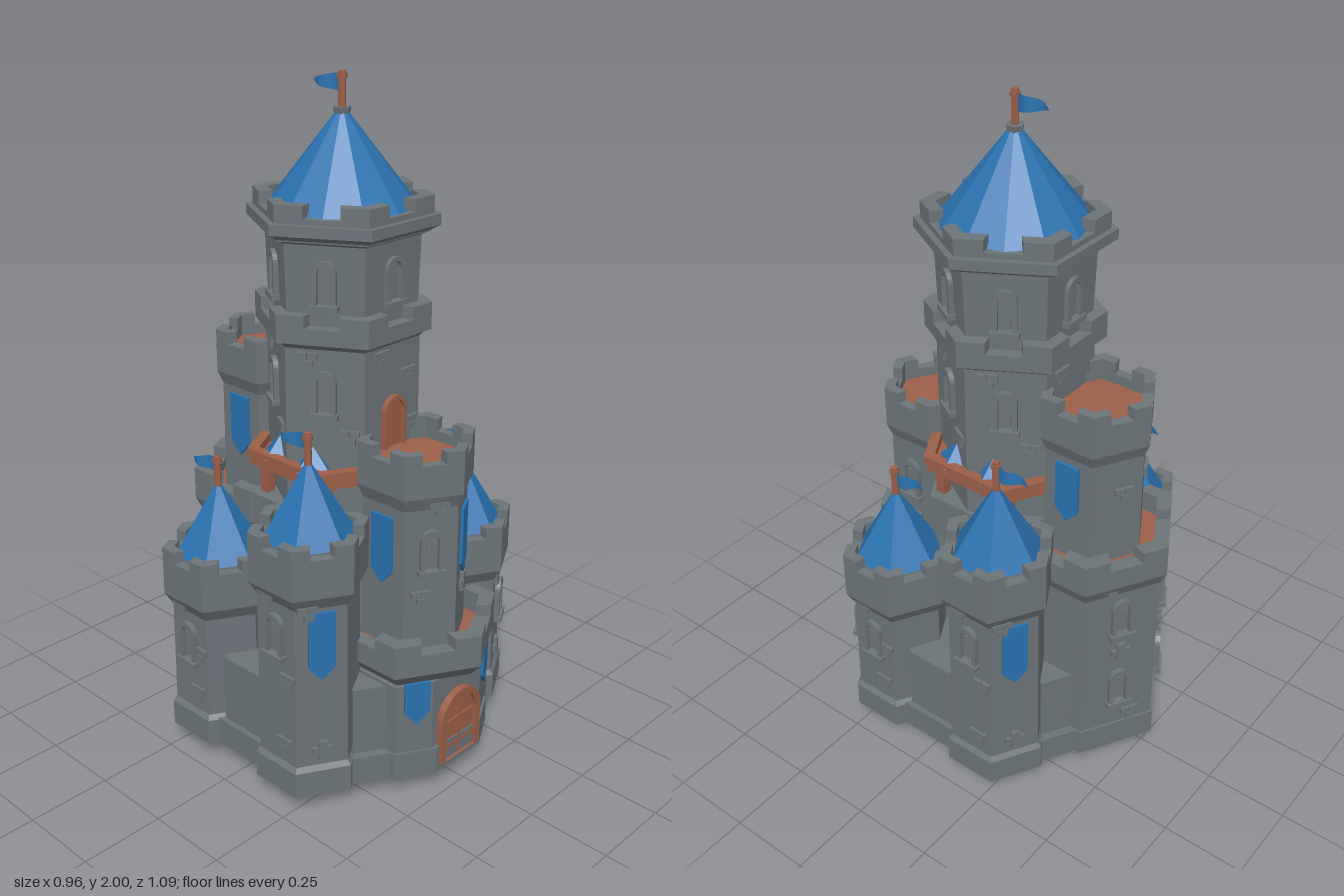
import * as THREE from 'three';

const mat = (name, color) => Object.assign(new THREE.MeshStandardMaterial({ color }), { name });

export function createModel() {
  const root = new THREE.Group();
  root.name = 'castle';
  const stone = mat('stone', 0x6c7479), blue = mat('blue', 0x2a72b0), wood = mat('wood', 0x9c5f48);
  const blueCloth = mat('flag cloth', 0x2a72b0);
  blueCloth.side = THREE.DoubleSide;

  const add = (parent, name, geo, material, x = 0, y = 0, z = 0) => {
    const m = new THREE.Mesh(geo, material);
    m.name = name;
    m.position.set(x, y, z);
    parent.add(m);
    return m;
  };
  const group = (parent, name, x = 0, y = 0, z = 0, ry = 0) => {
    const g = new THREE.Group();
    g.name = name;
    g.position.set(x, y, z);
    g.rotation.y = ry;
    parent.add(g);
    return g;
  };
  const box = (p, name, w, h, d, x, y, z, m = stone) => add(p, name, new THREE.BoxGeometry(w, h, d), m, x, y, z);

  // Flat-sided frustum standing between two heights
  const frustum = (p, name, r0, r1, y0, y1, m = stone, sides = 6) => {
    const g = new THREE.CylinderGeometry(r1, r0, y1 - y0, sides).toNonIndexed();
    g.computeVertexNormals();
    return add(p, name, g, m, 0, (y0 + y1) / 2, 0);
  };
  // Upright prism from a plan outline of [x, z] points, with an optional hole
  const prism = (p, name, pts, y0, y1, m = stone, hole) => {
    const v = a => a.map(([x, z]) => new THREE.Vector2(x, -z));
    const s = new THREE.Shape(v(pts));
    if (hole) s.holes.push(new THREE.Path(v(hole)));
    const g = new THREE.ExtrudeGeometry(s, { depth: y1 - y0, bevelEnabled: false });
    return add(p, name, g.rotateX(-Math.PI / 2), m, 0, y0, 0);
  };
  const corner = (r, i) => [r * Math.sin(i * Math.PI / 3), r * Math.cos(i * Math.PI / 3)];
  const hex = r => [0, 1, 2, 3, 4, 5].map(i => corner(r, i));
  const mix = (a, b, t) => [a[0] + (b[0] - a[0]) * t, a[1] + (b[1] - a[1]) * t];

  // Flared crown with parapet, raised corners and an optional timber floor
  const crown = (p, rBody, R, rIn, top, h, floor = true) => {
    frustum(p, 'crownFlare', rBody, R, top - h - 0.04, top - h);
    frustum(p, 'crownBand', R, R, top - h, top - 0.08);
    prism(p, 'parapet', hex(R), top - 0.08, top - 0.035, stone, hex(rIn));
    for (let i = 0; i < 6; i++) {
      const arm = (r, s) => mix(corner(r, i), corner(r, i + s), 0.3);
      prism(p, 'merlon', [arm(R, -1), corner(R, i), arm(R, 1), arm(rIn, 1), corner(rIn, i), arm(rIn, -1)],
        top - 0.035, top);
    }
    if (floor) frustum(p, 'floor', rIn, rIn, top - 0.085, top - 0.065, wood);
  };

  // Local frame on a wall; angle in degrees from +z towards +x
  const face = (p, deg, apothem, y, u = 0, name = 'wallDetail') => {
    const g = group(p, name, 0, 0, 0, deg * Math.PI / 180);
    return group(g, name, u, y, apothem);
  };
  const arch = (w, h) => {
    const s = new THREE.Shape();
    s.moveTo(-w / 2, 0).lineTo(w / 2, 0).lineTo(w / 2, h - w / 2);
    s.absarc(0, h - w / 2, w / 2, 0, Math.PI, false);
    return s;
  };
  const extrude = (s, depth) => new THREE.ExtrudeGeometry(s, { depth, bevelEnabled: false, curveSegments: 6 });
  const archFrame = (f, name, w, h, t, d, m) => {
    const s = arch(w, h);
    s.holes.push(arch(w - 2 * t, h - t));
    add(f, name, extrude(s, d), m);
  };
  const windowAt = (p, deg, ap, y, u = 0) => {
    const f = face(p, deg, ap, y, u, 'window');
    archFrame(f, 'windowFrame', 0.068, 0.13, 0.014, 0.016, stone);
    box(f, 'windowSill', 0.08, 0.016, 0.026, 0, 0, 0.011);
    box(f, 'windowBar', 0.026, 0.075, 0.006, 0, 0.055, 0);
  };
  const bannerAt = (p, deg, ap, top, h = 0.21, u = 0) => {
    const f = face(p, deg, ap, top, u, 'banner');
    const s = new THREE.Shape([[-0.038, 0], [-0.038, -h + 0.04], [0, -h], [0.038, -h + 0.04], [0.038, 0]]
      .map(a => new THREE.Vector2(...a)));
    add(f, 'bannerCloth', extrude(s, 0.009), blue);
  };
  const bricksAt = (p, deg, ap, y, u = 0) => {
    const f = face(p, deg, ap, y, u, 'raisedBricks');
    [[-0.014, 0.011], [0.016, 0.011], [0.004, -0.011]].forEach(([x, v]) => box(f, 'brick', 0.028, 0.02, 0.02, x, v, 0));
  };
  const crossAt = (p, deg, ap, y, u = 0) => {
    const f = face(p, deg, ap, y, u, 'stoneCross');
    box(f, 'crossArm', 0.06, 0.02, 0.02, 0, 0, 0);
    box(f, 'crossUpright', 0.026, 0.06, 0.024, 0, 0, 0);
  };

  // Pole with a waving pennant pointing to the back
  const flag = (p, y, h) => {
    frustum(p, 'flagPole', 0.011, 0.011, y, y + h, wood);
    frustum(p, 'poleCap', 0.015, 0.015, y + h - 0.02, y + h - 0.008, wood);
    const g = new THREE.PlaneGeometry(0.11, 0.048, 8, 1), a = g.attributes.position;
    for (let i = 0; i < a.count; i++) {
      const t = a.getX(i) / 0.11 + 0.5;
      a.setXYZ(i, Math.sin(t * 7) * 0.01, a.getY(i) * (1 - t * t), -0.008 - t * 0.105);
    }
    g.computeVertexNormals();
    add(p, 'pennant', g, blueCloth, 0, y + h - 0.033, 0);
  };

  // Four corner towers, alternately low and high
  for (const sx of [-1, 1]) for (const sz of [-1, 1]) {
    const low = sx === sz, T = low ? 0.66 : 0.84, d = low ? 0.18 : 0;
    const t = group(root, 'cornerTower', sx * 0.325, 0, sz * 0.187);
    frustum(t, 'plinth', 0.162, 0.162, 0.055, 0.135);
    frustum(t, 'plinthSlope', 0.162, 0.15, 0.135, 0.15);
    frustum(t, 'towerWall', 0.15, 0.147, 0.15, T - 0.18);
    crown(t, 0.147, 0.172, 0.136, T, 0.15, false);
    frustum(t, 'roof', 0.135, 0.004, T - 0.03, T + 0.19, blue);
    frustum(t, 'roofBase', 0.137, 0.137, T - 0.09, T - 0.03);
    flag(t, T + 0.15, 0.12);
    const side = sx * 90, diag = sz > 0 ? sx * 30 : sx * 150, ap = 0.129;
    windowAt(t, side, ap, 0.49 - d);
    if (sx > 0 && sz > 0) windowAt(t, diag, ap, 0.31);
    else bannerAt(t, diag, ap, 0.64 - d);
    crossAt(t, diag, ap, 0.2);
    bricksAt(t, side, ap, 0.21, 0.03);
    bricksAt(t, diag, ap, T - 0.2, -0.04);
    bricksAt(t, side, ap, 0.66 - d, -0.035);
    bricksAt(t, side, ap, 0.42 - d * 0.4, 0.045);
  }

  // Front and back keeps: wide lower body with balcony, slim tower above
  for (const s of [1, -1]) {
    const front = s > 0, mid = front ? 0.5 : 0.79, top = front ? 1.04 : 1.23;
    const k = group(root, front ? 'frontKeep' : 'backKeep', 0, 0, s * 0.29);
    const plan = (r, cut) => front
      ? [[-(r - cut) * 1.732, cut], [(r - cut) * 1.732, cut], ...hex(r).slice(1)]
      : hex(r);
    prism(k, 'plinth', plan(0.243, 0.185), 0.055, 0.14);
    prism(k, 'lowerWall', plan(0.235, 0.173), 0.14, mid - 0.14);
    crown(k, front ? 0.22 : 0.235, 0.256, 0.206, mid, 0.1);
    frustum(k, 'upperWall', 0.158, 0.156, mid - 0.1, top - 0.16);
    crown(k, 0.156, 0.173, 0.139, top, 0.13);
    for (const sx of [-1, 1]) {
      const deg = front ? sx * 30 : sx * 150;
      if (front) {
        bannerAt(k, deg, 0.204, 0.37, 0.135, sx * 0.055);
      } else {
        windowAt(k, deg, 0.204, 0.5);
        windowAt(k, deg, 0.204, 0.23);
        crossAt(k, deg, 0.204, 0.43);
        bricksAt(k, deg, 0.204, 0.17, 0.04);
        bricksAt(k, deg, 0.204, 0.68, -0.04);
        bannerAt(k, sx * 90, 0.136, 1.04, 0.19);
        bricksAt(k, deg, 0.136, 0.95, 0.02);
      }
    }
    if (front) {
      bannerAt(k, 30, 0.136, 0.84);
      bannerAt(k, -90, 0.136, 0.84);
      windowAt(k, -30, 0.136, 0.68);
      windowAt(k, 90, 0.136, 0.68);
      crossAt(k, 30, 0.136, 0.6);
      bricksAt(k, -30, 0.136, 0.87, 0.02);
      bricksAt(k, -30, 0.136, 0.6, -0.03);
    }
  }

  // Front gate with two leaves
  const gate = face(root, 0, 0.463, 0.08, 0, 'gate');
  add(gate, 'gateLeaves', extrude(arch(0.15, 0.205), 0.008), wood);
  archFrame(gate, 'gateFrame', 0.172, 0.218, 0.02, 0.022, wood);
  box(gate, 'gateMiddle', 0.007, 0.19, 0.006, 0, 0.1, 0.01, wood);
  for (const y of [0.04, 0.12]) box(gate, 'gateBrace', 0.14, 0.012, 0.006, 0, y, 0.01, wood);

  // Inner core and low curtain blocks between the towers
  frustum(root, 'innerCore', 0.27, 0.27, 0.055, 0.8);
  for (const sx of [-1, 1]) {
    box(root, 'sidePlinth', 0.3, 0.085, 0.3, sx * 0.287, 0.0975, 0);
    box(root, 'sideWall', 0.2, 0.3, 0.2, sx * 0.31, 0.2, 0);
    box(root, 'sideButtress', 0.12, 0.28, 0.16, sx * 0.36, 0.21, 0);
    for (const sz of [-1, 1]) {
      const b = group(root, 'cornerButtress', sx * 0.195, 0, sz * 0.31, (sz > 0 ? sx * 30 : sx * 150) * Math.PI / 180);
      box(b, 'buttressWall', 0.15, 0.28, 0.11, 0, 0.21, 0);
      box(b, 'buttressFoot', 0.2, 0.085, 0.16, 0, 0.0975, 0);
    }
  }

  // Timber walkway with posts and little roofs
  prism(root, 'walkwayDeck', hex(0.277), 0.895, 0.92, wood, hex(0.2));
  prism(root, 'walkwayRail', hex(0.285), 0.92, 0.945, wood, hex(0.25));
  for (const sx of [-1, 1]) for (const sz of [-1, 1]) {
    box(root, 'walkwayPost', 0.03, 0.11, 0.03, sx * 0.19, 0.85, sz * 0.12, wood);
    const r = group(root, 'smallRoof', sx * 0.185, 0, sz * 0.065);
    frustum(r, 'smallRoofCone', 0.065, 0.003, 0.93, 0.99, blue, 4);
  }

  // Great central tower, flat side to the front
  const main = group(root, 'greatTower', 0, 0, 0, Math.PI / 6);
  frustum(main, 'shaft', 0.225, 0.225, 0.7, 1.29);
  frustum(main, 'beltFlare', 0.225, 0.258, 1.28, 1.31);
  frustum(main, 'belt', 0.258, 0.258, 1.31, 1.345);
  crown(main, 0.22, 0.258, 0.215, 1.38, 0.06, false);
  frustum(main, 'upperStorey', 0.215, 0.225, 1.3, 1.58);
  frustum(main, 'corniceFlare', 0.225, 0.278, 1.57, 1.6);
  frustum(main, 'cornice', 0.278, 0.278, 1.6, 1.63);
  crown(main, 0.25, 0.258, 0.215, 1.68, 0.06, false);
  frustum(main, 'roof', 0.215, 0.012, 1.64, 1.9, blue, 12);
  frustum(root, 'roofCollar', 0.022, 0.026, 1.885, 1.905);
  flag(root, 1.89, 0.11);
  for (let i = 0; i < 6; i++) {
    windowAt(root, i * 60, 0.19, 1.4);
    if (i % 3) windowAt(root, i * 60, 0.194, 1.09);
    bricksAt(root, i * 60, 0.195, 1.25, -0.05);
    bricksAt(root, i * 60, 0.195, 1.03, 0.07);
  }
  bricksAt(root, 0, 0.195, 1.18, 0.06);
  const door = face(root, 0, 0.194, 0.98, 0, 'upperDoor');
  add(door, 'upperDoorLeaf', extrude(arch(0.07, 0.14), 0.008), wood);
  archFrame(door, 'upperDoorFrame', 0.088, 0.152, 0.012, 0.018, wood);

  // Pegs under the base
  frustum(root, 'centrePeg', 0.042, 0.042, 0, 0.06, wood, 12);
  for (let i = 0; i < 8; i++) {
    const a = (i + 0.5) * Math.PI / 4;
    frustum(group(root, 'smallPeg', 0.22 * Math.sin(a), 0, 0.22 * Math.cos(a)), 'peg', 0.03, 0.03, 0.045, 0.06, wood);
  }
  return root;
}
